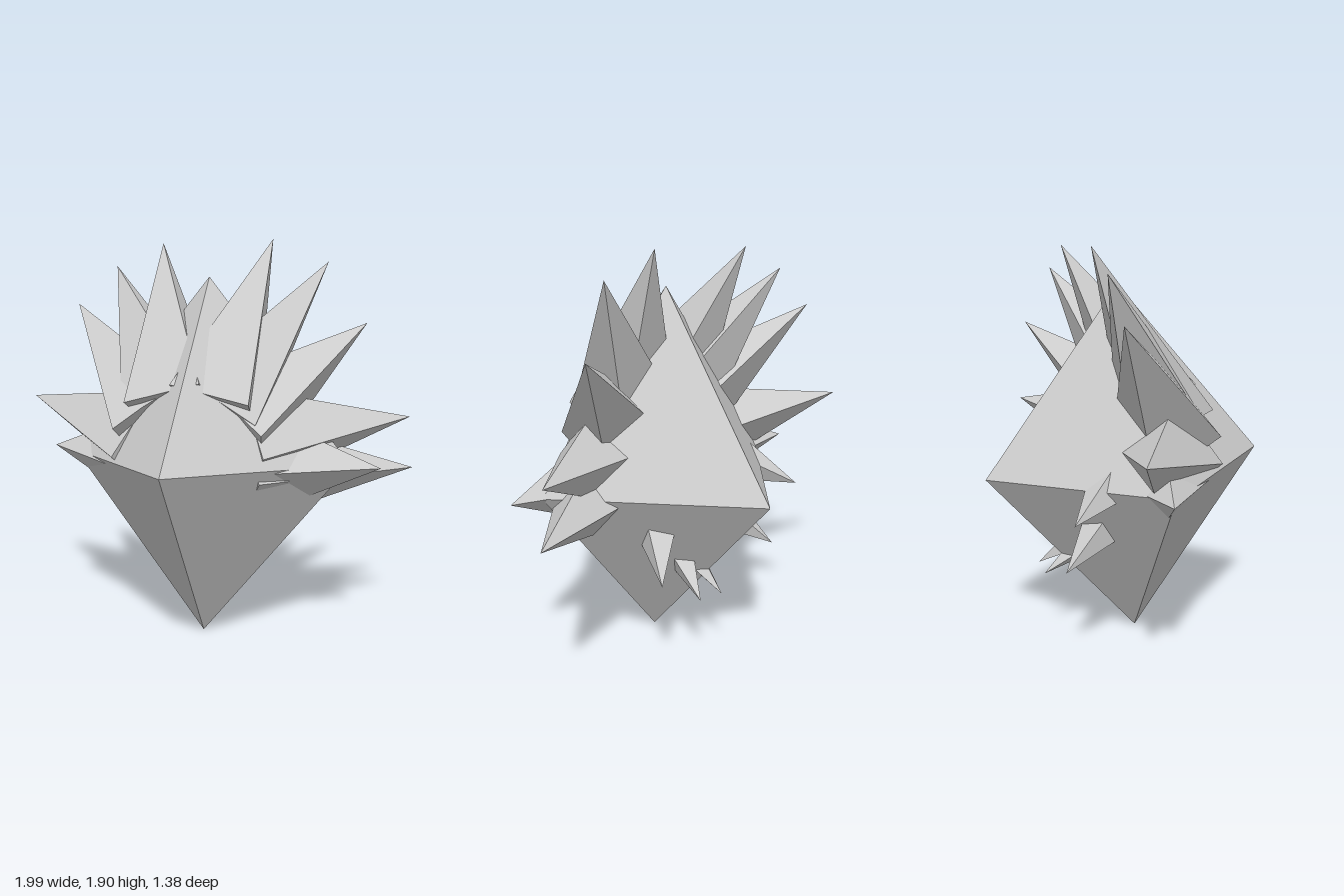
import * as THREE from 'three';

export function createModel() {
  const group = new THREE.Group();
  const stone = new THREE.MeshStandardMaterial({ color: 0xcccccc, flatShading: true });
  stone.name = 'pale grey stone';

  // Large, slightly tilted central crystal
  const body = new THREE.Mesh(new THREE.OctahedronGeometry(1), stone);
  body.name = 'centralCrystal';
  body.scale.set(0.69, 0.86, 0.69);
  body.rotation.x = -0.05;
  body.position.set(0.04, 0.86, 0);
  group.add(body);

  // Four-sided pyramid from a buried base centre to its tip;
  // roll (degrees) turns the front ridge outwards and down
  function spike(name, tip, base, radius, roll = 0) {
    const origin = new THREE.Vector3(...base);
    const length = new THREE.Vector3(...tip).sub(origin);
    const axis = length.clone().normalize();
    const side = new THREE.Vector3().crossVectors(axis, new THREE.Vector3(0, 0, 1)).normalize();
    const front = new THREE.Vector3().crossVectors(side, axis);
    const matrix = new THREE.Matrix4().makeBasis(
      side.multiplyScalar(radius), length, front.multiplyScalar(radius));
    matrix.setPosition(origin);
    const geometry = new THREE.ConeGeometry(1, 1, 4)
      .translate(0, 0.5, 0)
      .rotateY(THREE.MathUtils.degToRad(roll) * Math.sign(tip[0]))
      .applyMatrix4(matrix);
    const mesh = new THREE.Mesh(geometry, stone);
    mesh.name = name;
    group.add(mesh);
  }

  // Fan of long spikes: tip, base centre, radius, roll
  const fan = [
    [[-0.26, 1.89, -0.25], [-0.055, 1.12, 0.165], 0.26, 45],
    [[-0.51, 1.78, -0.25], [-0.08, 1.1, 0.13], 0.26, 45],
    [[-0.73, 1.59, -0.25], [-0.15, 1.045, 0.14], 0.26, 25],
    [[-1.0, 1.1, -0.25], [-0.19, 0.94, 0.13], 0.26, 12],
    [[0.3, 1.9, -0.25], [0.125, 1.12, 0.165], 0.26, 45],
    [[0.57, 1.79, -0.25], [0.15, 1.1, 0.13], 0.26, 45],
    [[0.75, 1.5, -0.35], [0.21, 1.025, 0.125], 0.26, 25],
    [[0.97, 1.05, -0.35], [0.25, 0.965, 0.105], 0.26, 12],
    [[0.99, 0.8, -0.35], [0.24, 0.82, 0.11], 0.26, 0],
  ];
  fan.forEach((s, i) => spike('fanSpike' + (i + 1), ...s));

  // Short spikes at the side corners
  spike('rightSideSpike', [-0.79, 0.87, -0.06], [-0.29, 0.85, 0.07], 0.22);
  spike('leftSideSpike', [0.87, 0.86, 0.03], [0.37, 0.86, 0.09], 0.22);

  // Small spikes on the lower back
  const small = [
    [[0.42, 0.49, -0.42], [0.26, 0.645, -0.22], 0.1],
    [[0.18, 0.34, -0.42], [0.09, 0.525, -0.16], 0.1],
    [[0.04, 0.33, -0.42], [0.04, 0.5, -0.17], 0.08],
    [[-0.34, 0.47, -0.4], [-0.2, 0.63, -0.19], 0.1],
    [[-0.51, 0.74, -0.4], [-0.33, 0.85, -0.2], 0.1],
  ];
  small.forEach((s, i) => spike('smallBackSpike' + (i + 1), ...s));

  return group;
}
